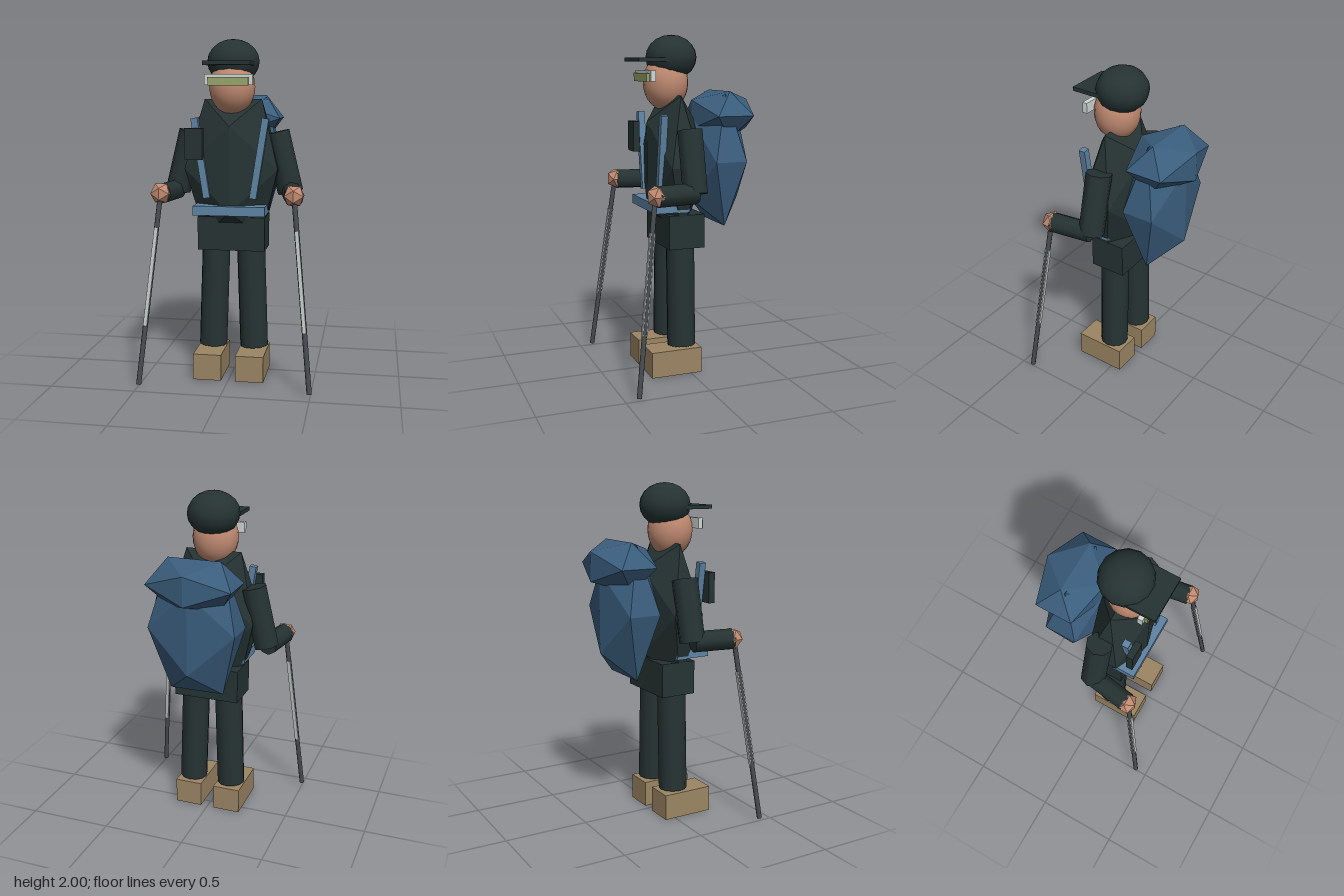
import * as THREE from 'three';

const mat = (name, color) => {
  const m = new THREE.MeshStandardMaterial({ color });
  m.name = name;
  return m;
};

export function createModel() {
  const model = new THREE.Group();
  model.name = 'hiker';
  const cloth = mat('dark clothing', 0x263333);
  const packBlue = mat('pack blue', 0x3a5d7d);
  const strapBlue = mat('strap blue', 0x5f84a4);
  const skin = mat('skin', 0xc18b72);
  const leather = mat('boot tan', 0x9c8664);
  const poleDark = mat('pole grey', 0x484c51);
  const silver = mat('silver', 0xc2c8c5);
  const frameWhite = mat('goggle frame', 0xd0d8d5);
  const lensGreen = mat('lens green', 0x98a66c);

  const add = (name, geo, material, pos) => {
    const m = new THREE.Mesh(geo, material);
    m.name = name;
    m.position.set(...pos);
    model.add(m);
    return m;
  };
  // Box given by its extents on each axis
  const box = (name, material, [x0, x1], [y0, y1], [z0, z1]) =>
    add(name, new THREE.BoxGeometry(x1 - x0, y1 - y0, z1 - z0), material,
      [(x0 + x1) / 2, (y0 + y1) / 2, (z0 + z1) / 2]);
  // Faceted twenty-sided lump with given half-sizes
  const lump = (name, material, pos, half) => add(name,
    new THREE.IcosahedronGeometry(1 / 0.8507, 0).scale(...half), material, pos);
  const ball = (name, material, pos, half, w, h) =>
    add(name, new THREE.SphereGeometry(1, w, h).scale(...half), material, pos);
  // Aim a mesh whose length runs along y from a to b
  const between = (name, geo, material, a, b) => {
    const A = new THREE.Vector3(...a), B = new THREE.Vector3(...b);
    const m = add(name, geo(A.distanceTo(B)), material, A.clone().lerp(B, 0.5).toArray());
    m.quaternion.setFromUnitVectors(new THREE.Vector3(0, 1, 0), A.sub(B).normalize());
    return m;
  };
  const rod = (r, sides) => (len) => new THREE.CylinderGeometry(r, r, len, sides);

  // Body and head
  lump('torso', cloth, [0, 1.25, 0.05], [0.275, 0.405, 0.15]);
  box('hips', cloth, [-0.2, 0.2], [0.765, 0.965], [-0.085, 0.135]);
  ball('head', skin, [0, 1.725, 0.083], [0.135, 0.163, 0.133], 20, 14);
  ball('cap', cloth, [0, 1.87, 0.048], [0.155, 0.13, 0.15], 14, 10);
  box('capBrim', cloth, [-0.135, 0.135], [1.847, 1.87], [0.1, 0.29]);
  box('goggleFrame', frameWhite, [-0.14, 0.14], [1.735, 1.797], [0.192, 0.222]);
  box('goggleLens', lensGreen, [-0.117, 0.117], [1.733, 1.781], [0.222, 0.24]);

  // Backpack, hip belt and chest pouch
  lump('backpackBody', packBlue, [0, 1.27, -0.23], [0.262, 0.392, 0.155]);
  lump('backpackLid', packBlue, [0, 1.535, -0.26], [0.254, 0.14, 0.18]);
  box('hipBelt', strapBlue, [-0.21, 0.21], [0.985, 1.04], [0.01, 0.225]);
  box('chestPouch', cloth, [-0.255, -0.15], [1.31, 1.49], [0.195, 0.235]);

  for (const s of [1, -1]) {
    const side = s > 0 ? 'left' : 'right';
    // Shoulder strap
    const strap = add(side + 'ShoulderStrap', new THREE.BoxGeometry(0.04, 0.47, 0.04),
      strapBlue, [s * 0.172, 1.315, 0.17]);
    strap.rotation.z = -s * 0.155;

    // Leg and boot
    between(side + 'Leg', rod(0.085, 12), cloth, [s * 0.105, 0.8, 0.033], [s * 0.126, 0.166, 0.033]);
    const bx = [0.042, 0.21].map((x) => x * s).sort((a, b) => a - b);
    box(side + 'Boot', leather, bx, [0, 0.155], [-0.065, 0.247]);

    // Arm and hand
    between(side + 'UpperArm', rod(0.076, 8), cloth, [s * 0.255, 1.463, 0.03], [s * 0.34, 1.11, 0.03]);
    between(side + 'Forearm', rod(0.06, 8), cloth, [s * 0.345, 1.115, 0.03], [s * 0.382, 1.115, 0.275]);
    lump(side + 'Hand', skin, [s * 0.385, 1.118, 0.277], [0.055, 0.055, 0.052]);

    // Trekking pole: dark rod with a silver inlay showing front and back
    const top = [s * 0.385, 1.12, 0.285], tip = [s * 0.495, 0.015, 0.423];
    const along = (t) => top.map((v, i) => v + (tip[i] - v) * t);
    between(side + 'Pole', rod(0.015, 8), poleDark, top, tip);
    between(side + 'PoleInlay', (len) => new THREE.BoxGeometry(0.022, len, 0.031),
      silver, along(0.18), along(0.69));
  }
  return model;
}
